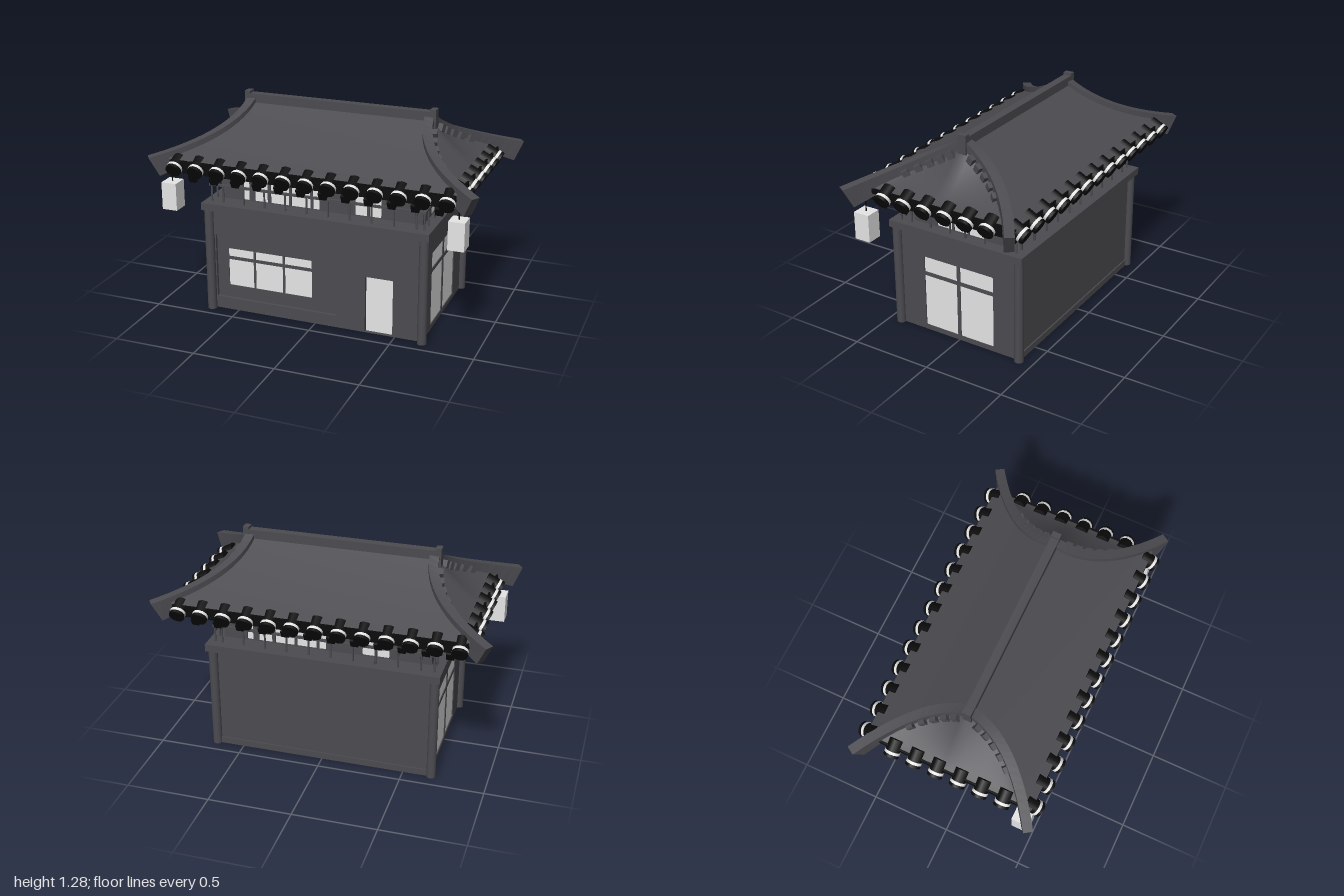
import * as THREE from 'three';

const mat = (name, color, side = THREE.FrontSide) => {
  const m = new THREE.MeshStandardMaterial({ color, side });
  m.name = name;
  return m;
};

export function createModel() {
  const charcoal = mat('charcoal', 0x4c4b50, THREE.DoubleSide);
  const black = mat('black', 0x0b0b0b);
  const light = mat('paperLight', 0xe6e6e6);

  const root = new THREE.Group();
  root.name = 'curvedRoofHouse';

  const add = (parent, name, geo, material, x = 0, y = 0, z = 0) => {
    const m = new THREE.Mesh(geo, material);
    m.name = name;
    m.position.set(x, y, z);
    parent.add(m);
    return m;
  };
  const box = (parent, name, material, w, h, d, x, y, z) =>
    add(parent, name, new THREE.BoxGeometry(w, h, d), material, x, y, z);
  const group = (parent, name, turn = 0, x = 0, y = 0, z = 0) => {
    const g = new THREE.Group();
    g.name = name;
    g.rotation.y = turn;
    g.position.set(x, y, z);
    parent.add(g);
    return g;
  };

  // Rectangular outline with slightly rounded corners
  const outline = (Type, x0, x1, y0, y1, r = 0.008) => {
    const p = new Type();
    p.moveTo(x0 + r, y0);
    p.lineTo(x1 - r, y0); p.quadraticCurveTo(x1, y0, x1, y0 + r);
    p.lineTo(x1, y1 - r); p.quadraticCurveTo(x1, y1, x1 - r, y1);
    p.lineTo(x0 + r, y1); p.quadraticCurveTo(x0, y1, x0, y1 - r);
    p.lineTo(x0, y0 + r); p.quadraticCurveTo(x0, y0, x0 + r, y0);
    return p;
  };

  // Wall whose outer face is at local z = 0; each opening may hold a pane and glazing bars
  const wall = (parent, name, w, h, depth, openings = []) => {
    const s = outline(THREE.Shape, -w / 2, w / 2, 0, h, 0.001);
    openings.forEach(o => s.holes.push(outline(THREE.Path, o.x0, o.x1, o.y0, o.y1)));
    const geo = new THREE.ExtrudeGeometry(s, { depth, bevelEnabled: false, curveSegments: 4 });
    geo.translate(0, 0, -depth);
    add(parent, name, geo, charcoal);
    for (const o of openings) {
      if (o.open) continue;
      const cx = (o.x0 + o.x1) / 2, cy = (o.y0 + o.y1) / 2, W = o.x1 - o.x0, H = o.y1 - o.y0;
      box(parent, 'pane', light, W, H, 0.004, cx, cy, -depth / 2);
      (o.bars || []).forEach(([x, t]) => box(parent, 'glazingBar', charcoal, t, H, depth * 0.9, x, cy, -depth / 2));
      (o.rails || []).forEach(([y, t]) => box(parent, 'glazingRail', charcoal, W, t, depth * 0.9, cx, y, -depth / 2));
    }
  };

  // Ground storey, open underneath
  const door = { x0: 0.315, x1: 0.485, y0: 0.002, y1: 0.355 };
  const front = group(root, 'frontWall', 0, 0, 0, 0.385);
  wall(front, 'frontWallPanel', 1.32, 0.645, 0.012, [
    { x0: -0.565, x1: -0.025, y0: 0.155, y1: 0.395,
      bars: [[-0.395, 0.014], [-0.205, 0.014]], rails: [[0.334, 0.02]] }, door]);
  const frame = group(front, 'frontFrame', 0, 0, 0, 0.018);
  wall(frame, 'frontFramePlate', 1.3, 0.485, 0.018, [
    { x0: -0.64, x1: 0.135, y0: 0.075, y1: 0.482, open: true }, { ...door, open: true }]);
  box(front, 'frontBeam', charcoal, 1.285, 0.16, 0.032, 0, 0.565, 0.016);

  const back = group(root, 'backWall', Math.PI, 0, 0, -0.41);
  wall(back, 'backWallPanel', 1.32, 0.645, 0.012);
  box(back, 'backSill', charcoal, 1.3, 0.04, 0.008, 0, 0.02, 0.004);

  for (const s of [1, -1]) {
    const side = group(root, 'sideWall', s * Math.PI / 2, s * 0.665, 0, 0);
    wall(side, 'sideWallPanel', 0.82, 0.645, 0.016, [
      { x0: -0.237, x1: 0.237, y0: 0.03, y1: 0.49, bars: [[0, 0.022]], rails: [[0.379, 0.023]] }]);
    for (const z of [0.42, -0.412])
      add(root, 'cornerPost', new THREE.CylinderGeometry(0.028, 0.028, 0.645, 16), charcoal, s * 0.67, 0.3225, z);
  }
  box(root, 'balconyLedge', charcoal, 1.41, 0.045, 0.9, 0, 0.667, 0);

  // Upper storey
  for (const turn of [0, Math.PI]) {
    const s = turn ? -1 : 1;
    wall(group(root, 'upperLongWall', turn, 0, 0.69, s * 0.32), 'upperLongPanel', 1.26, 0.21, 0.02, [
      { x0: -0.485, x1: 0, y0: 0.004, y1: 0.165, bars: [[-0.43, 0.036], [-0.32, 0.02], [-0.185, 0.016], [-0.05, 0.016]] },
      { x0: 0.22, x1: 0.38, y0: 0.004, y1: 0.165, bars: [[0.3, 0.016]] }]);
    wall(group(root, 'upperEndWall', turn + Math.PI / 2, s * 0.63, 0.69, 0), 'upperEndPanel', 0.64, 0.21, 0.02, [
      { x0: -0.16, x1: 0.16, y0: 0.004, y1: 0.15, bars: [[-0.052, 0.014], [0.052, 0.014]] }]);
  }

  // Balcony railing
  const postGeo = new THREE.CylinderGeometry(0.006, 0.006, 0.105, 8);
  for (const s of [1, -1]) {
    box(root, 'longRail', charcoal, 1.34, 0.013, 0.016, 0, 0.795, s * 0.395);
    box(root, 'endRail', charcoal, 0.016, 0.013, 0.79, s * 0.66, 0.795, 0);
    for (const e of [1, -1]) add(root, 'railPost', postGeo, charcoal, e * 0.66, 0.74, s * 0.39);
    for (let i = 0; i < 10; i++) add(root, 'railPost', postGeo, charcoal, -0.583 + i * 0.133, 0.74, s * 0.395);
    for (const z of [0.052, 0.185, 0.317]) for (const e of [1, -1])
      add(root, 'railPost', postGeo, charcoal, s * 0.66, 0.74, e * z);
  }

  // Curved roof: hipX and hipY describe the hip line as a function of z
  const hipX = z => 0.56 + 0.425 * (z / 0.55) ** 2;
  const hipY = z => { const t = Math.abs(z) / 0.55; return 1.25 - 0.315 * t + 0.04 * t * t; };
  const surface = (fn, nu, nv) => {
    const pos = [], idx = [];
    for (let j = 0; j <= nv; j++) for (let i = 0; i <= nu; i++) pos.push(...fn(i / nu, j / nv));
    for (let j = 0; j < nv; j++) for (let i = 0; i < nu; i++) {
      const a = j * (nu + 1) + i, b = a + nu + 1;
      idx.push(a, b, a + 1, a + 1, b, b + 1);
    }
    const g = new THREE.BufferGeometry();
    g.setAttribute('position', new THREE.Float32BufferAttribute(pos, 3));
    g.setIndex(idx);
    g.computeVertexNormals();
    return g;
  };
  const slopeGeo = surface((u, v) => {
    const z = v * 0.515;
    return [(u * 2 - 1) * Math.min(hipX(z), 0.87), hipY(z) - 0.025, z];
  }, 12, 16);
  const gableGeo = surface((u, v) => {
    const z = 0.5 * (1 - 2 * u), x0 = Math.min(hipX(z), 0.865), y0 = hipY(z) - 0.04;
    return [x0 + (0.865 - x0) * v, 0.95 + Math.max(y0 - 0.95, 0) * (1 - v) ** 1.25, z];
  }, 24, 10);

  // Hip rib: rectangular section swept over the roof from one eave corner to the other
  const N = 32;
  const ribPoint = (i, k) => {
    const z0 = -0.55 + 1.1 * i / N, t = z0 / 0.55, low = k === 1 || k === 2;
    const z = low ? z0 * 0.94 : z0, slope = 0.85 * z / 0.3025, n = Math.hypot(1, slope);
    const off = (k < 2 ? 1 : -1) * 0.028 / n;
    return [hipX(z) + off, hipY(z0) - (low ? 0.055 + 0.06 * t * t : 0), z - slope * off];
  };
  const ribPos = [];
  const quad = (a, b, c, d) => ribPos.push(...a, ...b, ...c, ...a, ...c, ...d);
  for (let i = 0; i < N; i++) for (let k = 0; k < 4; k++) {
    const m = (k + 1) % 4;
    quad(ribPoint(i, k), ribPoint(i, m), ribPoint(i + 1, m), ribPoint(i + 1, k));
  }
  quad(...[3, 2, 1, 0].map(k => ribPoint(0, k)));
  quad(...[0, 1, 2, 3].map(k => ribPoint(N, k)));
  const ribGeo = new THREE.BufferGeometry();
  ribGeo.setAttribute('position', new THREE.Float32BufferAttribute(ribPos, 3));
  ribGeo.computeVertexNormals();

  // Eave tile: barrel, pale band and round end cap; rafters sit between tiles
  const rod = (r, len) => new THREE.CylinderGeometry(r, r, len, 12).rotateX(Math.PI / 2);
  const barrelGeo = rod(0.044, 0.105), bandGeo = rod(0.0465, 0.017), capGeo = rod(0.046, 0.018);
  const eaveRow = (parent, count, reach, wallOff) => {
    for (let i = 0; i < count; i++) {
      const x = (i - (count - 1) / 2) * 0.1375;
      const tile = group(parent, 'eaveTile', 0, x, 0.932, reach);
      tile.rotation.x = 0.48;
      add(tile, 'tileBarrel', barrelGeo, black);
      add(tile, 'tileBand', bandGeo, light, 0, 0, 0.029);
      add(tile, 'tileCap', capGeo, black, 0, 0, 0.0465);
      if (i < count - 1) {
        const rafter = box(parent, 'rafter', black, 0.044, 0.05, 0.2, x + 0.06875, 0.875, wallOff);
        rafter.rotation.x = 0.47;
      }
    }
  };

  const roof = group(root, 'roof');
  for (const turn of [0, Math.PI]) {
    const half = group(roof, 'roofHalf', turn);
    add(half, 'roofSlope', slopeGeo, charcoal);
    add(half, 'gableEnd', gableGeo, charcoal);
    add(half, 'hipRib', ribGeo, charcoal);
    // Small blocks stepping down beneath the rib
    for (const s of [1, -1]) for (let i = 0; i < 5; i++) {
      const z = s * (0.07 + i * 0.0575);
      const b = box(half, 'gableBlock', charcoal, 0.05, 0.044, 0.04, hipX(z) + 0.034, hipY(z) - 0.06, z);
      b.rotation.set(s * 0.5, Math.atan(2.81 * z), 0, 'YXZ');
    }
    box(half, 'ridgeEnd', charcoal, 0.035, 0.115, 0.053, 0.583, 1.2225, 0);
    box(half, 'longFascia', black, 1.73, 0.03, 0.012, 0, 0.942, 0.508);
    box(half, 'endFascia', black, 0.012, 0.03, 1.0, 0.86, 0.942, 0);
    eaveRow(group(half, 'longEave'), 13, 0.505, 0.365);
    eaveRow(group(half, 'endEave', Math.PI / 2), 6, 0.853, 0.71);
  }
  box(roof, 'ridgeBeam', charcoal, 1.19, 0.065, 0.05, 0, 1.2325, 0);
  box(roof, 'soffit', black, 1.68, 0.055, 0.96, 0, 0.9, 0);

  // Hanging lanterns at the front corners
  for (const s of [1, -1]) {
    box(root, 'lantern', light, 0.095, 0.168, 0.1, s * 0.877, 0.73, 0.47);
    add(root, 'lanternCord', new THREE.CylinderGeometry(0.004, 0.004, 0.13, 6), black, s * 0.877, 0.875, 0.47);
  }
  return root;
}
